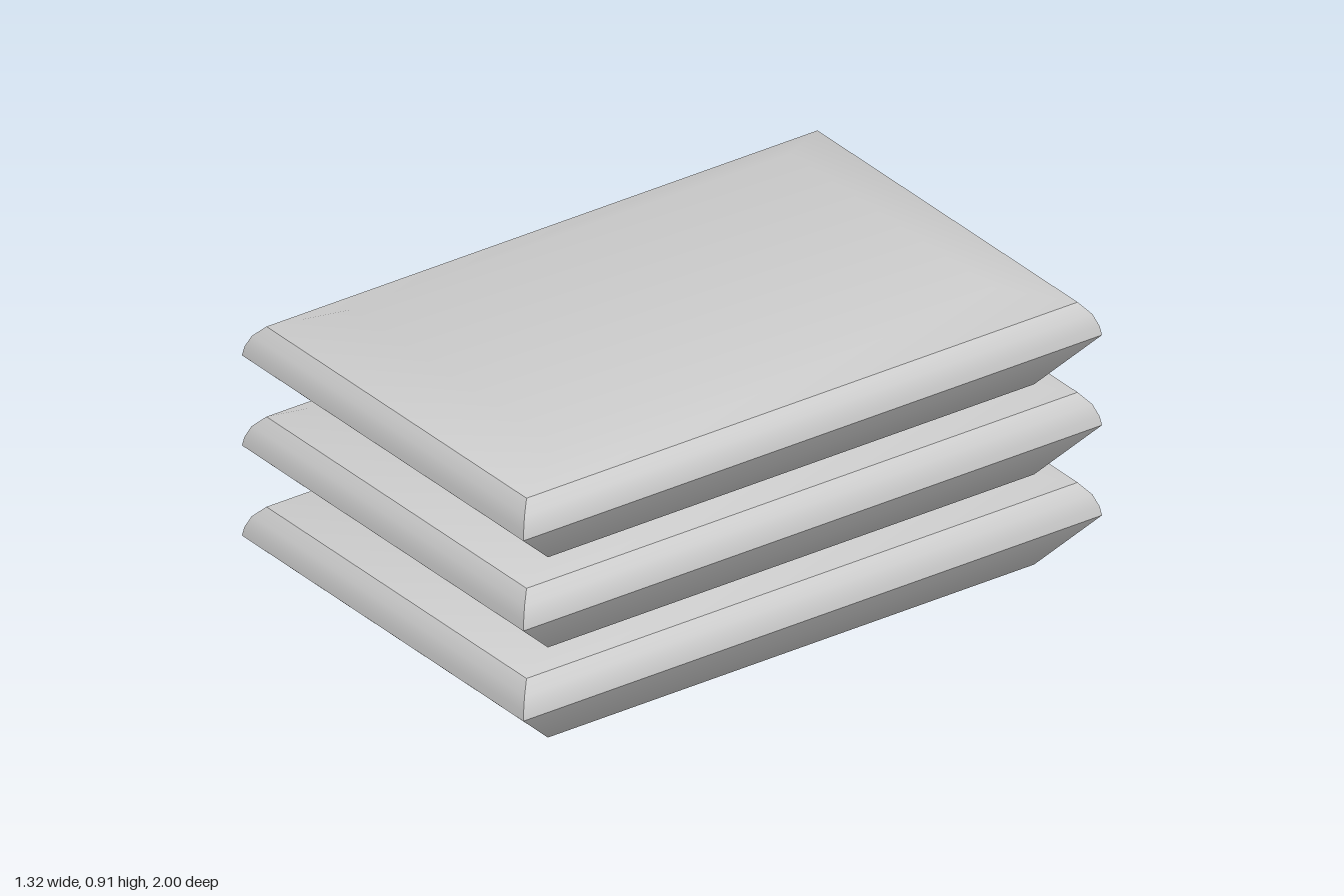
import * as THREE from 'three';
import { toCreasedNormals } from 'three/addons/utils/BufferGeometryUtils.js';

const PITCH = 0.287;

// Cross-sections as [half width, half depth, height]
const BASE = [[0.48, 0.76, 0], [0.56, 0.84, 0.04], [0.662, 1, 0.19]];
const RIM = [[0.662, 1, 0.19], [0.657, 0.995, 0.218], [0.642, 0.981, 0.254], [0.612, 0.952, 0.288]];
const TOP = [[0.612, 0.952, 0.288], [0.48, 0.76, 0.337]];

// Skin a stack of rectangles, optionally capping either end
function band(rings, capBottom, capTop) {
  const pos = [];
  const idx = [];
  for (const [x, z, y] of rings) pos.push(-x, y, z, x, y, z, x, y, -z, -x, y, -z);
  for (let r = 0; r < rings.length - 1; r++) {
    for (let i = 0; i < 4; i++) {
      const a = r * 4 + i, b = r * 4 + (i + 1) % 4;
      idx.push(a, b, b + 4, a, b + 4, a + 4);
    }
  }
  if (capBottom) idx.push(0, 2, 1, 0, 3, 2);
  const t = (rings.length - 1) * 4;
  if (capTop) idx.push(t, t + 1, t + 2, t, t + 2, t + 3);
  const geometry = new THREE.BufferGeometry();
  geometry.setAttribute('position', new THREE.Float32BufferAttribute(pos, 3));
  geometry.setIndex(idx);
  return toCreasedNormals(geometry, 0.65);
}

export function createModel() {
  const model = new THREE.Group();
  model.name = 'stackedSlabs';
  const material = new THREE.MeshStandardMaterial({ color: 0xcccccc });

  // Separate bands keep the seams above and below each rim sharp
  const parts = {
    taperedBase: band(BASE, true, false),
    roundedRim: band(RIM, false, false),
    slopedTop: band(TOP, false, true),
  };

  // Three identical slabs, each sunk slightly into the one below
  for (let i = 0; i < 3; i++) {
    const slab = new THREE.Group();
    slab.name = `slab${i + 1}`;
    slab.position.y = i * PITCH;
    for (const [name, geometry] of Object.entries(parts)) {
      const mesh = new THREE.Mesh(geometry, material);
      mesh.name = name;
      slab.add(mesh);
    }
    model.add(slab);
  }
  return model;
}
